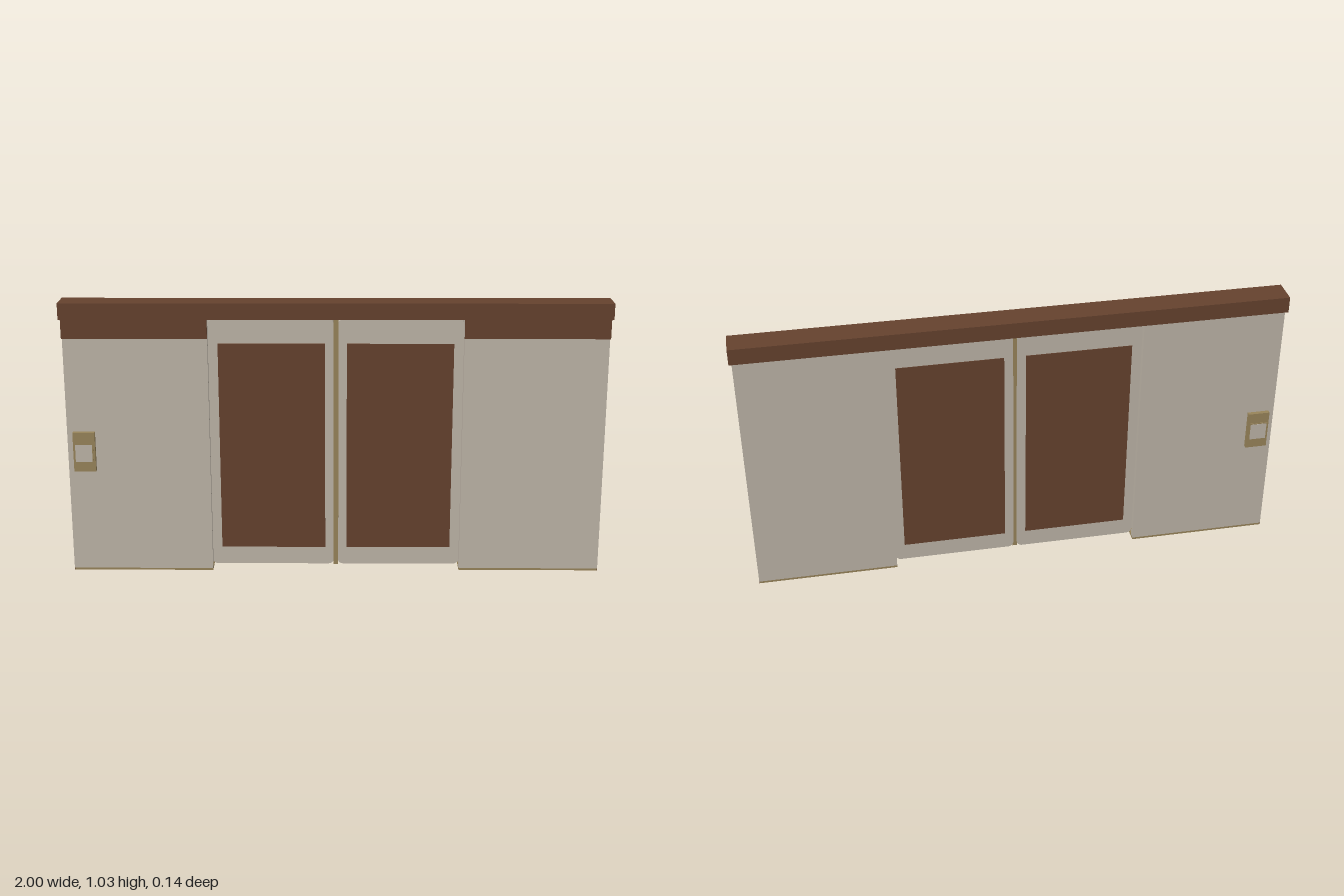
import * as THREE from 'three';

const mat = (name, color) => {
  const m = new THREE.MeshStandardMaterial({ color });
  m.name = name;
  return m;
};

export function createModel() {
  const root = new THREE.Group();
  root.name = 'slidingDoorway';
  const pale = mat('pale plaster', 0xbeb5a8);
  const brown = mat('dark brown', 0x65422e);
  const tan = mat('brass tan', 0x98845a);

  // Box given by its extents on each axis
  const box = (parent, name, m, x0, x1, y0, y1, z0, z1) => {
    const mesh = new THREE.Mesh(new THREE.BoxGeometry(Math.abs(x1 - x0), y1 - y0, Math.abs(z1 - z0)), m);
    mesh.position.set((x0 + x1) / 2, (y0 + y1) / 2, (z0 + z1) / 2);
    mesh.name = name;
    parent.add(mesh);
    return mesh;
  };

  // Door leaf outline with rounded corners
  const leafGeometry = (x0, x1, y0, y1, r, halfDepth) => {
    const s = new THREE.Shape();
    s.moveTo(x0 + r, y0);
    s.lineTo(x1 - r, y0);
    s.absarc(x1 - r, y0 + r, r, -Math.PI / 2, 0);
    s.lineTo(x1, y1 - r);
    s.absarc(x1 - r, y1 - r, r, 0, Math.PI / 2);
    s.lineTo(x0 + r, y1);
    s.absarc(x0 + r, y1 - r, r, Math.PI / 2, Math.PI);
    s.lineTo(x0, y0 + r);
    s.absarc(x0 + r, y0 + r, r, Math.PI, Math.PI * 1.5);
    const g = new THREE.ExtrudeGeometry(s, { depth: halfDepth * 2, bevelEnabled: false, curveSegments: 5 });
    return g.translate(0, 0, -halfDepth);
  };

  // Header beam across the top
  box(root, 'headerBeam', brown, -1, 1, 0.97, 1.03, -0.05, 0.05);

  for (const s of [1, -1]) {
    const side = s > 0 ? 'left' : 'right';

    // Pocket wall: two skins, outer post, floor plate and front fascia
    const wall = new THREE.Group();
    wall.name = side + 'PocketWall';
    root.add(wall);
    box(wall, 'frontSkin', pale, s * 0.465, s * 0.99, 0.008, 0.97, 0.022, 0.043);
    box(wall, 'backSkin', pale, s * 0.465, s * 0.99, 0.008, 0.97, -0.043, -0.022);
    box(wall, 'endPost', brown, s * 0.95, s * 0.987, 0.008, 0.97, -0.022, 0.022);
    box(wall, 'floorPlate', tan, s * 0.465, s * 0.988, 0, 0.008, -0.043, 0.043);
    box(wall, 'floorPlateEnd', brown, s * 0.988, s * 0.99, 0, 0.008, -0.043, 0.043);
    box(wall, 'fascia', brown, s * 0.465, s * 0.992, 0.9, 0.97, 0.043, 0.05);

    // Door leaf with an inset coloured panel on both faces
    const door = new THREE.Group();
    door.name = side + 'Door';
    root.add(door);
    const x = [s * 0.007, s * 0.466].sort((a, b) => a - b);
    const leaf = new THREE.Mesh(leafGeometry(x[0], x[1], 0.017, 0.965, 0.02, 0.018), pale);
    leaf.name = 'leaf';
    door.add(leaf);
    for (const f of [1, -1]) {
      box(door, f > 0 ? 'frontPanel' : 'backPanel', brown,
        s * 0.04, s * 0.43, 0.085, 0.875, f * 0.017, f * 0.02);
    }
  }

  // Seal strip where the doors meet
  box(root, 'centreSeal', tan, -0.009, 0.009, 0.015, 0.965, -0.012, 0.0205);

  // Control pads on both faces of the right wall
  for (const f of [1, -1]) {
    const pad = new THREE.Group();
    pad.name = f > 0 ? 'frontControlPad' : 'backControlPad';
    root.add(pad);
    box(pad, 'padBody', tan, -0.967, -0.886, 0.4, 0.55, f * 0.05, f * 0.065);
    box(pad, 'padBezel', tan, -0.962, -0.893, 0.434, 0.508, f * 0.065, f * 0.067);
    box(pad, 'padScreen', pale, -0.959, -0.897, 0.438, 0.504, f * 0.067, f * 0.068);
  }
  return root;
}
